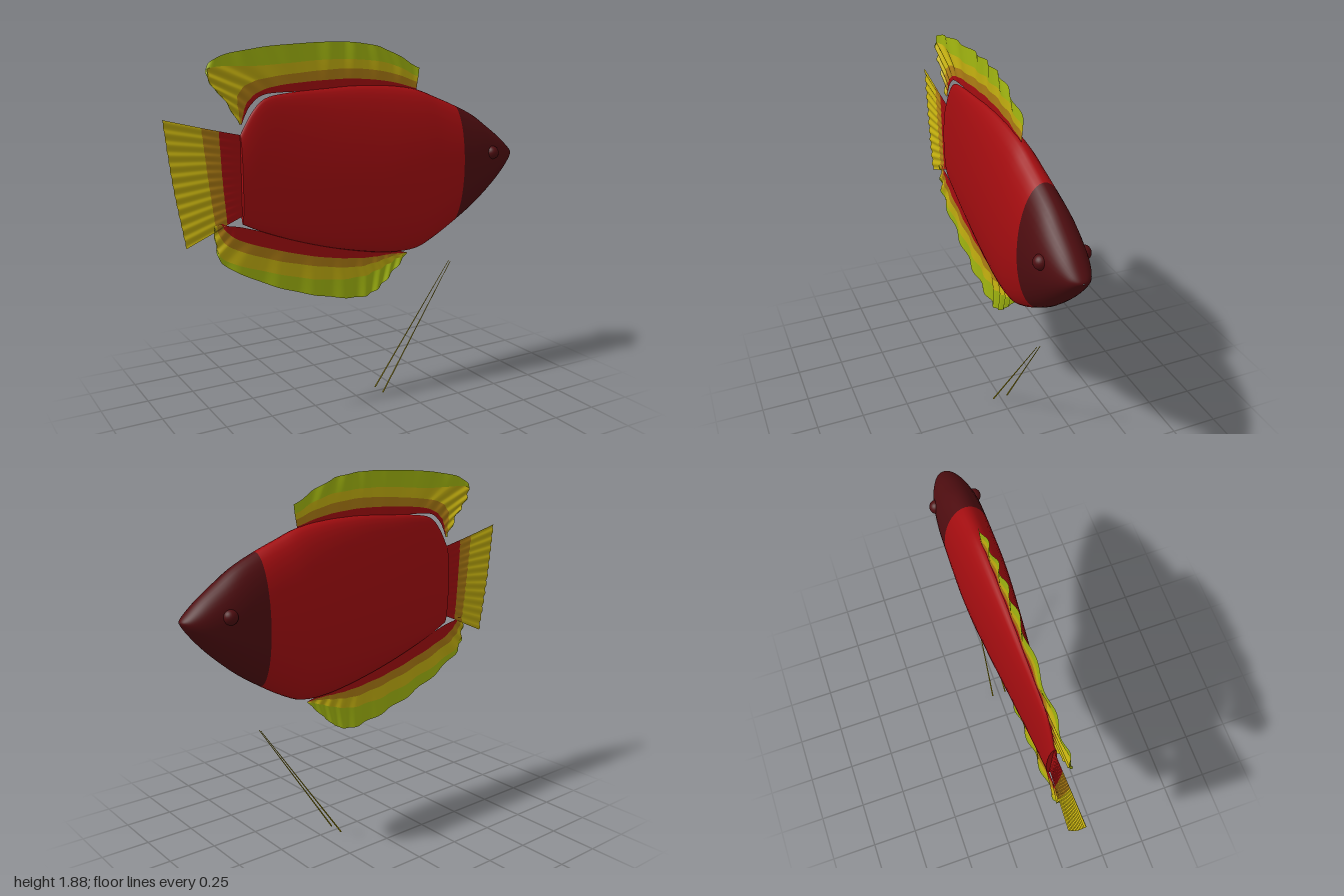
import * as THREE from 'three';

const mat = (name, color, side = THREE.FrontSide) => {
  const m = new THREE.MeshStandardMaterial({ color, side });
  m.name = name;
  return m;
};

const spline = (pts) => new THREE.CatmullRomCurve3(
  pts.map(([x, y, z = 0]) => new THREE.Vector3(x, y, z)), false, 'catmullrom', 0.5);

// Body stations: x, top y, bottom y, half width
const STATIONS = [
  [-0.63, 1.46, 1.03, 0.024], [-0.57, 1.56, 1.0, 0.03], [-0.5, 1.625, 0.97, 0.036],
  [-0.38, 1.648, 0.925, 0.048], [-0.2, 1.66, 0.868, 0.068], [0, 1.67, 0.818, 0.09],
  [0.2, 1.663, 0.784, 0.11], [0.36, 1.64, 0.786, 0.12], [0.48, 1.597, 0.835, 0.122],
  [0.6, 1.55, 0.905, 0.122], [0.72, 1.493, 0.985, 0.12], [0.82, 1.425, 1.068, 0.108],
  [0.9, 1.367, 1.145, 0.086], [0.96, 1.315, 1.215, 0.056], [0.988, 1.288, 1.255, 0.028],
  [0.997, 1.274, 1.269, 0.004],
];
const HEAD_STATION = 9;

// Elliptical cross-sections, with groups for the flank and the head
function bodyGeometry() {
  const SUB = 4, SEG = 40, rings = (STATIONS.length - 1) * SUB;
  const outline = spline(STATIONS.map(([x, t, b]) => [x, t, b]));
  const widths = spline(STATIONS.map(([x, , , w]) => [x, w]));
  const pos = [], idx = [];
  for (let i = 0; i <= rings; i++) {
    const p = outline.getPoint(i / rings), w = widths.getPoint(i / rings).y;
    const cy = (p.y + p.z) / 2, h = (p.y - p.z) / 2;
    for (let j = 0; j < SEG; j++) {
      const a = (j / SEG) * Math.PI * 2;
      pos.push(p.x, cy + h * Math.cos(a), w * Math.sin(a));
    }
  }
  for (let i = 0; i < rings; i++) {
    for (let j = 0; j < SEG; j++) {
      const k = (j + 1) % SEG;
      const a = i * SEG + j, d = i * SEG + k, b = a + SEG, c = d + SEG;
      idx.push(a, d, b, d, c, b);
    }
  }
  const g = new THREE.BufferGeometry();
  g.setAttribute('position', new THREE.Float32BufferAttribute(pos, 3));
  g.setIndex(idx);
  const split = HEAD_STATION * SUB * SEG * 6;
  g.addGroup(0, split, 0);
  g.addGroup(split, idx.length - split, 1);
  g.computeVertexNormals();
  return g;
}

// A strip between two edge curves, rippled sideways towards the rim
function bandGeometry(inner, outer, v0, v1, waves, amp) {
  const N = 132, ROWS = 3, pos = [], idx = [];
  const a = spline(inner), b = spline(outer);
  for (let i = 0; i <= N; i++) {
    const t = i / N, p = a.getPoint(t), q = b.getPoint(t);
    for (let r = 0; r <= ROWS; r++) {
      const s = r / ROWS, v = v0 + (v1 - v0) * s;
      pos.push(p.x + (q.x - p.x) * s, p.y + (q.y - p.y) * s,
        amp * v * Math.sin(t * waves * Math.PI * 2));
      if (i < N && r < ROWS) {
        const k = i * (ROWS + 1) + r, n = k + ROWS + 1;
        idx.push(k, n, k + 1, n, n + 1, k + 1);
      }
    }
  }
  const g = new THREE.BufferGeometry();
  g.setAttribute('position', new THREE.Float32BufferAttribute(pos, 3));
  g.setIndex(idx);
  g.computeVertexNormals();
  return g;
}

// A fin made of coloured bands lying between successive edge curves
function fin(name, curves, materials, waves, amp) {
  const group = new THREE.Group();
  group.name = name;
  const n = curves.length - 1;
  for (let i = 0; i < n; i++) {
    const m = new THREE.Mesh(
      bandGeometry(curves[i], curves[i + 1], i / n, (i + 1) / n, waves, amp), materials[i]);
    m.name = `${name}Band${i + 1}`;
    group.add(m);
  }
  return group;
}

export function createModel() {
  const model = new THREE.Group();
  model.name = 'fish';
  const red = mat('bodyRed', 0xa30d10);
  const dark = mat('headMaroon', 0x4e0d10);
  const finRed = mat('finRed', 0xa30d10, THREE.DoubleSide);
  const brown = mat('finBrown', 0xac7b13, THREE.DoubleSide);
  const gold = mat('finGold', 0xc3af0f, THREE.DoubleSide);
  const green = mat('finGreen', 0xa2b610, THREE.DoubleSide);
  const add = (name, geo, material, parent = model) => {
    const m = new THREE.Mesh(geo, material);
    m.name = name;
    parent.add(m);
    return m;
  };

  add('body', bodyGeometry(), [red, dark]);

  // Flat end where the tail joins
  const [tx, tTop, tBottom, tWidth] = STATIONS[0];
  const cap = add('tailStump', new THREE.CircleGeometry(1, 40), red);
  cap.scale.set(tWidth, (tTop - tBottom) / 2, 1);
  cap.rotation.y = -Math.PI / 2;
  cap.position.set(tx, (tTop + tBottom) / 2, 0);

  // Eyes
  for (const s of [1, -1]) {
    const eye = add(s > 0 ? 'eyeFront' : 'eyeBack', new THREE.SphereGeometry(0.036, 24, 16), dark);
    eye.position.set(0.8, 1.29, s * 0.1);
  }

  // Dorsal fin
  model.add(fin('dorsalFin', [
    [[-0.62, 1.51], [-0.6, 1.555], [-0.57, 1.6], [-0.51, 1.642], [-0.4, 1.652],
      [-0.2, 1.65], [0, 1.65], [0.2, 1.645], [0.36, 1.63]],
    [[-0.622, 1.51], [-0.61, 1.56], [-0.59, 1.61], [-0.53, 1.657], [-0.42, 1.685],
      [-0.2, 1.702], [0, 1.705], [0.2, 1.685], [0.364, 1.645]],
    [[-0.625, 1.51], [-0.635, 1.58], [-0.635, 1.645], [-0.58, 1.698], [-0.45, 1.727],
      [-0.2, 1.75], [0, 1.755], [0.2, 1.73], [0.37, 1.678]],
    [[-0.63, 1.51], [-0.7, 1.625], [-0.77, 1.71], [-0.765, 1.775], [-0.5, 1.78],
      [-0.2, 1.8], [0, 1.8], [0.2, 1.775], [0.375, 1.705]],
    [[-0.632, 1.51], [-0.702, 1.625], [-0.772, 1.71], [-0.755, 1.81], [-0.53, 1.862],
      [-0.2, 1.885], [0, 1.882], [0.17, 1.85], [0.38, 1.75]],
  ], [finRed, brown, gold, green], 11, 0.009));

  // Anal fin
  model.add(fin('analFin', [
    [[-0.735, 1.045], [-0.7, 1.03], [-0.63, 1.015], [-0.42, 0.95], [-0.2, 0.885],
      [0, 0.835], [0.13, 0.81], [0.22, 0.795], [0.32, 0.766]],
    [[-0.74, 1.045], [-0.71, 1.0], [-0.63, 0.945], [-0.42, 0.87], [-0.2, 0.81],
      [0, 0.777], [0.13, 0.77], [0.22, 0.772], [0.32, 0.765]],
    [[-0.765, 1.045], [-0.74, 0.97], [-0.67, 0.91], [-0.45, 0.825], [-0.2, 0.76],
      [0, 0.73], [0.13, 0.74], [0.22, 0.757], [0.32, 0.764]],
    [[-0.775, 1.045], [-0.768, 0.95], [-0.72, 0.86], [-0.46, 0.76], [-0.2, 0.69],
      [0.02, 0.672], [0.15, 0.7], [0.24, 0.735], [0.32, 0.763]],
    [[-0.777, 1.045], [-0.77, 0.94], [-0.725, 0.835], [-0.47, 0.695], [-0.2, 0.601],
      [0.02, 0.56], [0.13, 0.588], [0.22, 0.662], [0.32, 0.76]],
  ], [finRed, brown, gold, green], 11, 0.009));

  // Tail fin
  model.add(fin('tailFin', [
    [[-0.625, 1.46], [-0.63, 1.26], [-0.63, 1.07]],
    [[-0.735, 1.485], [-0.725, 1.26], [-0.708, 1.037]],
    [[-0.82, 1.505], [-0.795, 1.26], [-0.765, 1.01]],
    [[-1, 1.55], [-0.965, 1.245], [-0.915, 0.945]],
  ], [finRed, brown, gold], 12, 0.004));

  // Thread-like pelvic fins, spreading towards their tips
  for (const s of [1, -1]) {
    const from = new THREE.Vector3(0.605, 0.68, s * 0.008);
    const to = new THREE.Vector3(0.145, 0.005, s * 0.041);
    const dir = from.clone().sub(to);
    const ray = add(s > 0 ? 'pelvicFinFront' : 'pelvicFinBack',
      new THREE.CylinderGeometry(0.0015, 0.004, dir.length(), 6), gold);
    ray.position.copy(from).add(to).multiplyScalar(0.5);
    ray.quaternion.setFromUnitVectors(new THREE.Vector3(0, 1, 0), dir.normalize());
  }
  return model;
}
